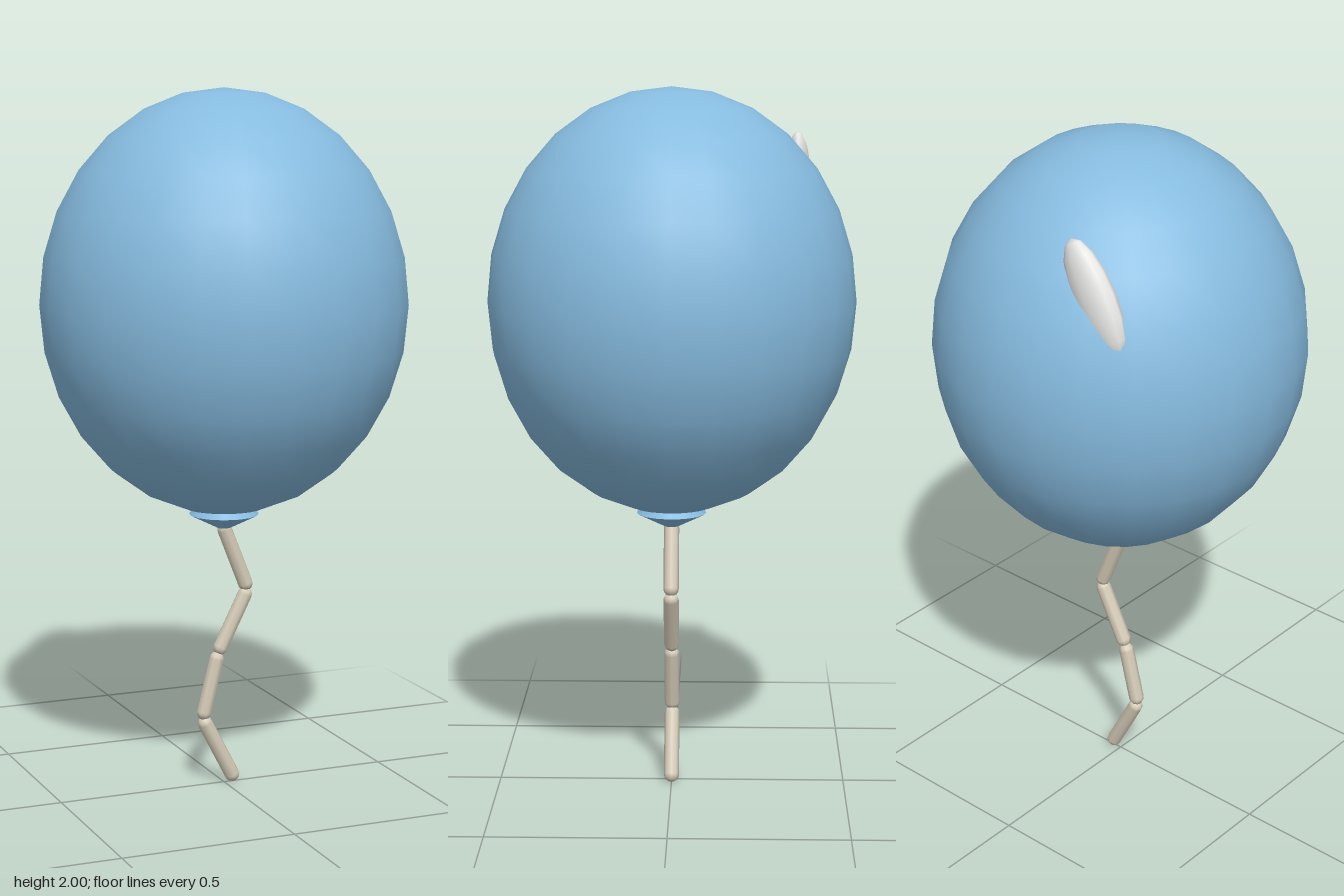
import * as THREE from 'three';

const mat = (name, color, side = THREE.FrontSide) => {
  const m = new THREE.MeshStandardMaterial({ color, side });
  m.name = name;
  return m;
};

export function createModel() {
  const group = new THREE.Group();
  group.name = 'balloon';
  const blue = mat('balloon blue', 0x86bbdf);
  const tan = mat('string tan', 0xd6ccb8);
  const white = mat('highlight white', 0xf4f4f2);

  const add = (name, geometry, material, x, y, z) => {
    const mesh = new THREE.Mesh(geometry, material);
    mesh.name = name;
    mesh.position.set(x, y, z);
    group.add(mesh);
    return mesh;
  };

  // Egg-like body
  add('body', new THREE.SphereGeometry(1, 24, 14), blue, 0, 1.4, 0).scale.set(0.52, 0.6, 0.52);

  // Knot: a downward cone with a shallow bevelled top
  add('knotCone', new THREE.CylinderGeometry(0.1, 0, 0.05, 16, 1, true), blue, 0, 0.769, 0);
  add('knotRim', new THREE.CylinderGeometry(0.085, 0.1, 0.016, 16), blue, 0, 0.802, 0);

  // Shine spot, a flattened ellipsoid half sunk in the back of the body
  const shine = add('shineSpot', new THREE.SphereGeometry(1, 12, 8), white, -0.22, 1.718, -0.355);
  shine.scale.set(0.069, 0.167, 0.04);
  shine.rotation.z = -0.5;

  // String: four rounded links zigzagging down
  const radius = 0.022;
  const joints = [[-0.005, 0.765], [0.073, 0.568], [-0.019, 0.385], [-0.067, 0.195], [0.033, 0.002]]
    .map(([x, y]) => new THREE.Vector3(x, y, 0));
  const up = new THREE.Vector3(0, 1, 0);
  for (let i = 0; i < 4; i++) {
    const dir = joints[i].clone().sub(joints[i + 1]);
    const mid = joints[i].clone().add(joints[i + 1]).multiplyScalar(0.5);
    const length = dir.length() + 0.008 - 2 * radius;
    const link = add('stringLink' + (i + 1), new THREE.CapsuleGeometry(radius, length, 4, 8), tan, mid.x, mid.y, 0);
    link.quaternion.setFromUnitVectors(up, dir.normalize());
  }
  return group;
}
